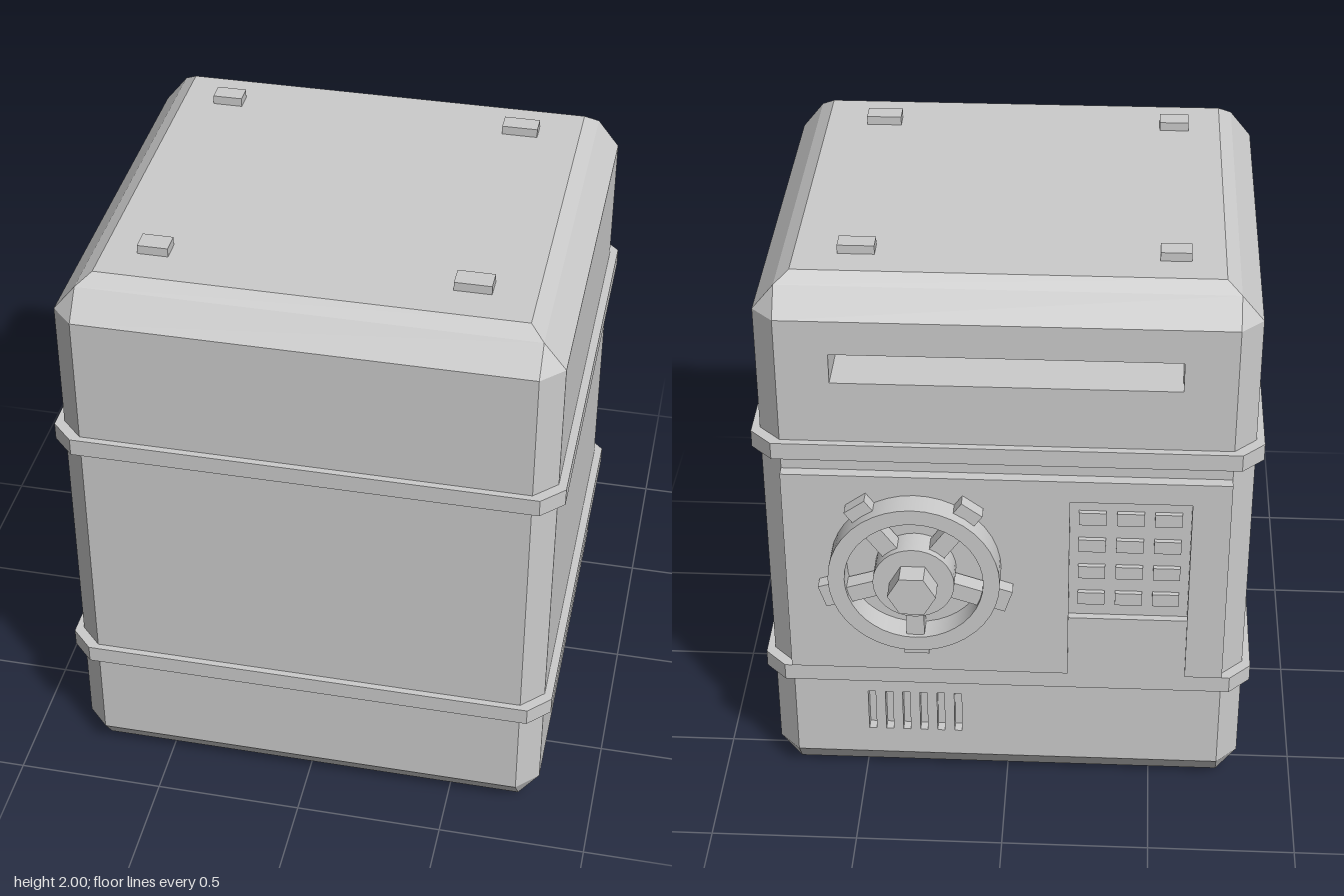
import * as THREE from 'three';

const mat = new THREE.MeshStandardMaterial({ color: 0xcccccc, flatShading: true });
const smooth = new THREE.MeshStandardMaterial({ color: 0xcccccc });

function add(parent, name, geo, x = 0, y = 0, z = 0, material = mat) {
  const m = new THREE.Mesh(geo, material);
  m.name = name;
  m.position.set(x, y, z);
  parent.add(m);
  return m;
}

// Box given by its limits on each axis
function slab(parent, name, x0, x1, y0, y1, z0, z1) {
  return add(parent, name, new THREE.BoxGeometry(x1 - x0, y1 - y0, z1 - z0),
    (x0 + x1) / 2, (y0 + y1) / 2, (z0 + z1) / 2);
}

// Rectangle with cut corners at height y
function ring(y, x, z0, z1, c) {
  return [[x, z1 - c], [x - c, z1], [c - x, z1], [-x, z1 - c],
    [-x, z0 + c], [c - x, z0], [x - c, z0], [x, z0 + c]]
    .map(([px, pz]) => new THREE.Vector3(px, y, pz));
}

// Joins rings from bottom to top with flat faces and closes both ends
function loft(rings, skip = () => false) {
  const pts = [];
  const tri = (a, b, c) => {
    const area = b.clone().sub(a).cross(c.clone().sub(a)).length();
    if (area > 1e-8) pts.push(a, b, c);
  };
  const low = rings[0], high = rings[rings.length - 1];
  for (let i = 0; i < 8; i++) {
    const j = (i + 1) % 8;
    for (let r = 0; r < rings.length - 1; r++) {
      if (skip(r, i)) continue;
      const a = rings[r], b = rings[r + 1];
      tri(a[j], a[i], b[i]);
      tri(a[j], b[i], b[j]);
    }
    tri(low[0], low[i], low[j]);
    tri(high[0], high[j], high[i]);
  }
  const g = new THREE.BufferGeometry().setFromPoints(pts);
  g.computeVertexNormals();
  return g;
}

function polygon(points, Type = THREE.Shape) {
  return new Type(points.map(([x, y]) => new THREE.Vector2(x, y)));
}
const rect = (x0, x1, y0, y1, Type) => polygon([[x0, y0], [x1, y0], [x1, y1], [x0, y1]], Type);
const extrude = (shape, depth, curveSegments = 12) =>
  new THREE.ExtrudeGeometry(shape, { depth, bevelEnabled: false, curveSegments });

function makeWheel() {
  const wheel = new THREE.Group();
  wheel.name = 'handWheel';
  // Rim profile turned around the wheel axis
  const profile = [[0.23, 0], [0.285, 0], [0.285, 0.09], [0.23, 0.09], [0.23, 0]];
  for (let i = 0; i < 4; i++) {
    const part = profile.slice(i, i + 2).map(([r, h]) => new THREE.Vector2(r, h));
    const rim = add(wheel, 'wheelRim', new THREE.LatheGeometry(part, 40), 0, 0, 0, smooth);
    rim.rotation.x = -Math.PI / 2;
  }
  const disc = (name, r, z0, z1, sides, material) => {
    const g = new THREE.CylinderGeometry(r, r, z1 - z0, sides);
    g.rotateX(-Math.PI / 2);
    add(wheel, name, g, 0, 0, -(z0 + z1) / 2, material);
  };
  disc('hub', 0.135, 0, 0.1, 32, smooth);
  disc('hexKnob', 0.08, 0.1, 0.175, 6, mat);
  wheel.children[wheel.children.length - 1].rotation.z = Math.PI / 6 * 3;
  // Spokes and grip lugs
  for (let i = 0; i < 5; i++) {
    const arm = new THREE.Group();
    arm.name = 'wheelArm';
    arm.rotation.z = Math.PI / 2 + Math.PI + i * Math.PI * 2 / 5;
    slab(arm, 'spoke', 0.1, 0.25, -0.03, 0.03, -0.075, -0.015);
    slab(arm, 'gripLug', 0.26, 0.328, -0.042, 0.042, -0.05, 0);
    wheel.add(arm);
  }
  return wheel;
}

export function createModel() {
  const model = new THREE.Group();
  model.name = 'safe';

  // Chamfered body, leaving out the door-side face
  add(model, 'body', loft([
    ring(0, 0.74, -0.575, 0.77, 0),
    ring(0.095, 0.81, -0.65, 0.84, 0.073),
    ring(1.845, 0.81, -0.65, 0.84, 0.073),
    ring(1.935, 0.737, -0.58, 0.765, 0),
    ring(1.97, 0.69, -0.54, 0.72, 0),
  ], (r, i) => r === 1 && i === 5));

  // Door-side wall with the note slot and vent slits
  const wall = rect(-0.737, 0.737, 0.095, 1.845);
  wall.holes.push(rect(-0.565, 0.565, 1.62, 1.725, THREE.Path));
  for (let i = 0; i < 6; i++) {
    const x = 0.17 + i * 0.06;
    wall.holes.push(rect(x - 0.013, x + 0.013, 0.2, 0.365, THREE.Path));
  }
  add(model, 'doorWall', extrude(wall, 0.22), 0, 0, -0.65);
  slab(model, 'slotBack', -0.6, 0.6, 1.58, 1.76, -0.43, -0.4);
  slab(model, 'ventBack', 0.12, 0.52, 0.18, 0.39, -0.61, -0.58);

  // Two bands around the body
  for (const [y0, y1] of [[0.43, 0.49], [1.34, 1.4]]) {
    add(model, 'band', loft([y0, y1].map((y) => ring(y, 0.837, -0.675, 0.862, 0.073))));
  }

  // Raised door with an opening for the keypad
  const door = polygon([[-0.737, 0.5], [-0.61, 0.5], [-0.61, 1.21], [-0.21, 1.21],
    [-0.21, 0.5], [0.737, 0.5], [0.737, 1.29], [-0.737, 1.29]]);
  add(model, 'door', extrude(door, 0.045), 0, 0, -0.688);
  slab(model, 'keypadSill', -0.61, -0.21, 0.49, 0.73, -0.676, -0.64);

  // Keypad buttons
  for (let row = 0; row < 4; row++) {
    for (let col = 0; col < 3; col++) {
      const x = -0.285 - col * 0.125, y = 1.13 - row * 0.108;
      slab(model, 'keypadButton', x - 0.045, x + 0.045, y - 0.024, y + 0.024, -0.667, -0.645);
    }
  }

  const wheel = makeWheel();
  wheel.position.set(0.3, 0.935, -0.686);
  model.add(wheel);

  // Small pads on the top
  for (const [x0, x1] of [[-0.58, -0.48], [0.43, 0.55]]) {
    for (const [z0, z1] of [[-0.43, -0.365], [0.525, 0.595]]) {
      slab(model, 'topPad', x0, x1, 1.96, 2, z0, z1);
    }
  }
  return model;
}
